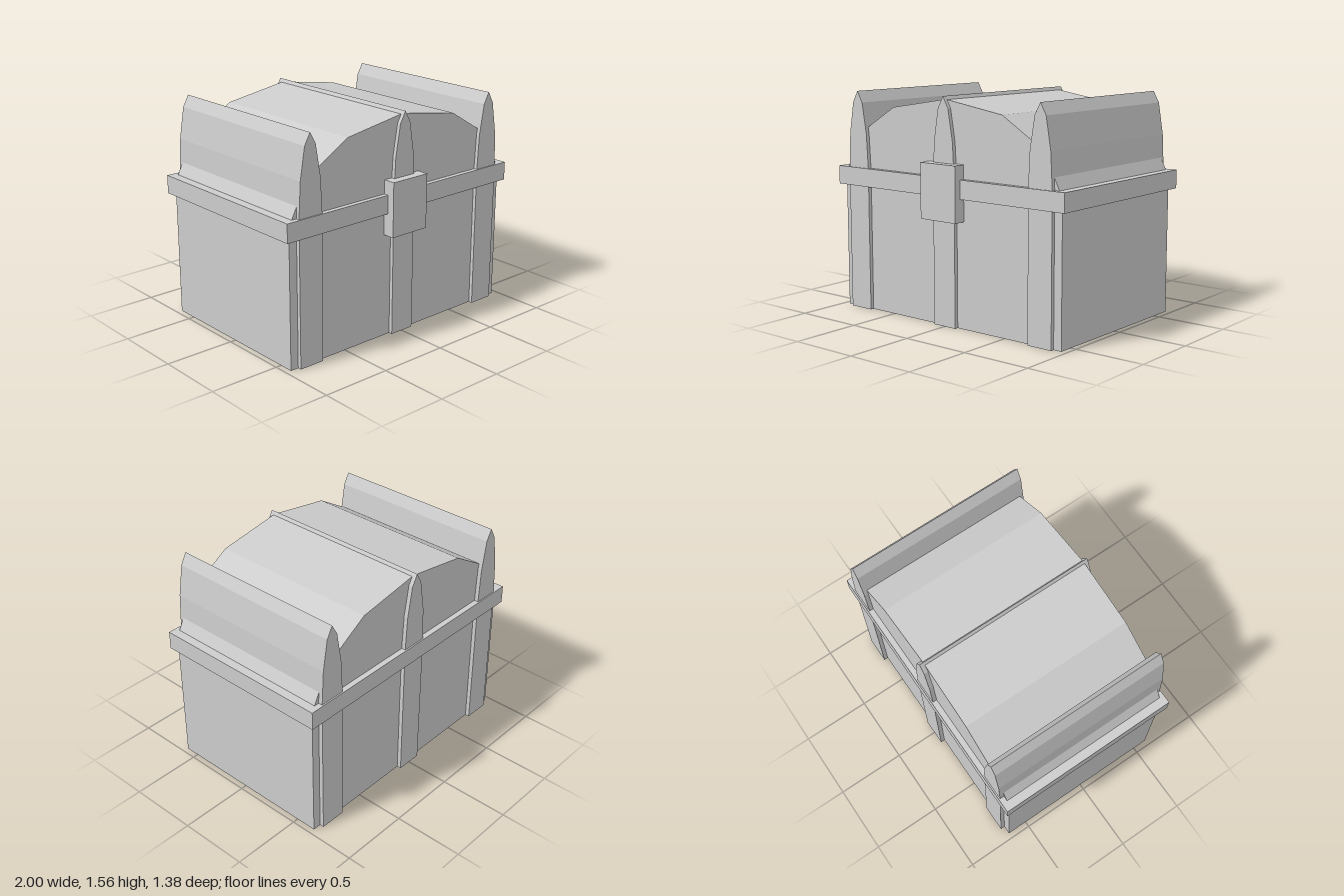
import * as THREE from 'three';

export function createModel() {
  const chest = new THREE.Group();
  chest.name = 'chest';
  const grey = new THREE.MeshStandardMaterial({ color: 0xcccccc, flatShading: true });
  grey.name = 'plainGrey';

  const add = (name, geometry) => {
    const mesh = new THREE.Mesh(geometry, grey);
    mesh.name = name;
    chest.add(mesh);
    return mesh;
  };

  // Box given by its lower and upper corners
  const block = (name, [x0, y0, z0], [x1, y1, z1]) =>
    add(name, new THREE.BoxGeometry(x1 - x0, y1 - y0, z1 - z0))
      .position.set((x0 + x1) / 2, (y0 + y1) / 2, (z0 + z1) / 2);

  // Symmetrical profile (right half, bottom to top, ending at x = 0) extruded from back to front
  const prism = (name, half, x, back, front) => {
    const mirrored = half.slice(0, -1).reverse().map(([px, py]) => [-px, py]);
    const shape = new THREE.Shape([...half, ...mirrored].map((p) => new THREE.Vector2(...p)));
    const geometry = new THREE.ExtrudeGeometry(shape, { depth: front - back, bevelEnabled: false });
    add(name, geometry).position.set(x, 0, back);
  };

  // Main box and the projecting rim
  block('body', [-0.96, 0, -0.65], [0.96, 0.95, 0.603]);
  block('rim', [-1, 0.89, -0.69], [1, 1.02, 0.638]);

  // Faceted domed lid
  prism('lid', [[0.937, 1.0], [0.937, 1.02], [0.815, 1.26], [0.48, 1.463], [0, 1.54]], 0, -0.65, 0.603);

  // Straps running up the front and back, rising to pointed ridges over the lid
  const strap = [[0.094, 0], [0.094, 1.02], [0.081, 1.265], [0.044, 1.483], [0, 1.562]];
  [['rightStrap', -0.806], ['middleStrap', 0], ['leftStrap', 0.806]]
    .forEach(([name, x]) => prism(name, strap, x, -0.68, 0.63));

  // Lock plate on the front
  block('lock', [-0.154, 0.735, 0.58], [0.154, 1.118, 0.69]);

  return chest;
}
